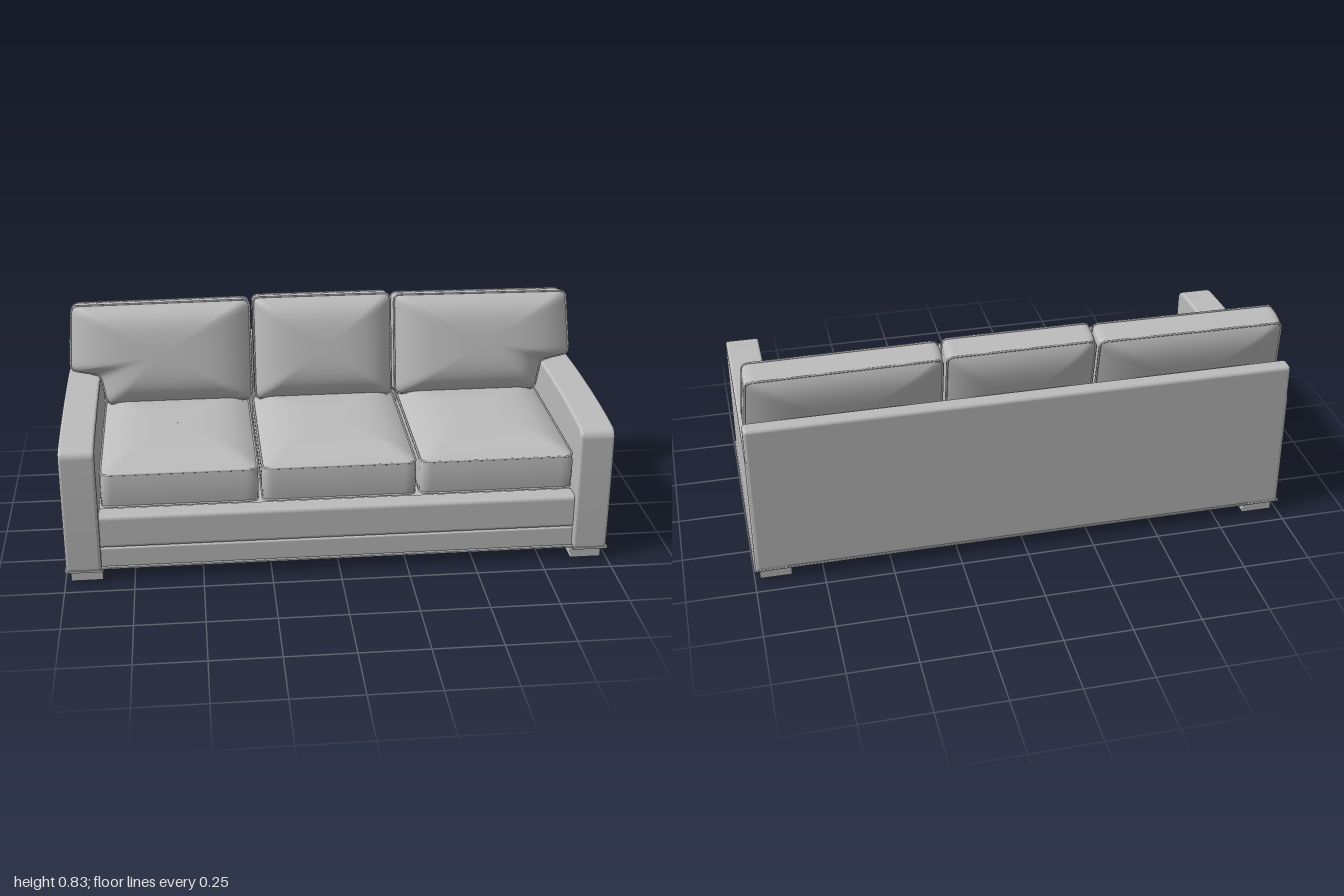
import * as THREE from 'three';
import { mergeGeometries } from 'three/addons/utils/BufferGeometryUtils.js';
import { RoundedBoxGeometry } from 'three/addons/geometries/RoundedBoxGeometry.js';

const fabric = new THREE.MeshStandardMaterial({ color: 0xbcbcbc });
fabric.name = 'grey fabric';

function add(parent, name, geometry, x = 0, y = 0, z = 0) {
  const mesh = new THREE.Mesh(geometry, fabric);
  mesh.name = name;
  mesh.position.set(x, y, z);
  parent.add(mesh);
  return mesh;
}

// Box given by its limits, with softened edges
function block(parent, name, [x0, x1], [y0, y1], [z0, z1], r = 0.008) {
  const geometry = new RoundedBoxGeometry(x1 - x0, y1 - y0, z1 - z0, 3, r);
  return add(parent, name, geometry, (x0 + x1) / 2, (y0 + y1) / 2, (z0 + z1) / 2);
}

// Evenly spaced loop around a polygon with rounded corners (counter-clockwise)
function roundedOutline(corners, radius) {
  const pts = corners.map(([x, y]) => new THREE.Vector2(x, y));
  const shape = new THREE.Shape();
  const toward = (a, b) => a.clone().add(b.clone().sub(a).setLength(radius));
  pts.forEach((p, i) => {
    const a = toward(p, pts[(i + pts.length - 1) % pts.length]);
    const b = toward(p, pts[(i + 1) % pts.length]);
    if (i) shape.lineTo(a.x, a.y);
    else shape.moveTo(a.x, a.y);
    shape.quadraticCurveTo(p.x, p.y, b.x, b.y);
  });
  shape.closePath();
  return shape.getSpacedPoints(128).slice(0, -1);
}

// Skin through scaled copies of an outline; each ring is [scale, z]
function loft(outline, centre, rings) {
  const n = outline.length, position = [], index = [];
  rings.forEach(([s, z], r) => outline.forEach((p, i) => {
    position.push(centre.x + (p.x - centre.x) * s, centre.y + (p.y - centre.y) * s, z);
    if (r === rings.length - 1) return;
    const a = r * n + i, b = r * n + (i + 1) % n;
    index.push(a, b, b + n, a, b + n, a + n);
  }));
  const geometry = new THREE.BufferGeometry();
  geometry.setAttribute('position', new THREE.Float32BufferAttribute(position, 3));
  geometry.setIndex(index);
  geometry.computeVertexNormals();
  return geometry;
}

// Stuffed cushion: crowned faces, side band and piping along both seams
function cushion(parent, name, corners, radius, edge, crownFront, crownBack) {
  const outline = roundedOutline(corners, radius);
  const centre = new THREE.Box2().setFromPoints(outline).getCenter(new THREE.Vector2());
  const scales = [1, 0.98, 0.95, 0.9, 0.84, 0.76, 0.66, 0.52, 0.35, 0.15, 0.001];
  const h = edge / 2;
  const face = (crown, sign) => scales.map(s => [s, sign * (h + crown * (1 - s ** 4))]);
  const band = [-1, -0.5, 0, 0.5, 1].map(t => [1 + 0.012 * (1 - t * t), t * h]);
  const group = new THREE.Group();
  group.name = name;
  add(group, 'cushionBody', mergeGeometries([
    loft(outline, centre, face(crownFront, 1)),
    loft(outline, centre, band),
    loft(outline, centre, face(crownBack, -1).reverse()),
  ]));
  for (const z of [-h, h]) {
    const path = new THREE.CatmullRomCurve3(outline.map(p => new THREE.Vector3(p.x, p.y, z)), true);
    add(group, 'piping', new THREE.TubeGeometry(path, 128, 0.004, 6, true));
  }
  parent.add(group);
  return group;
}

const rect = (x0, x1, y0, y1) => [[x0, y0], [x1, y0], [x1, y1], [x0, y1]];
const mirror = corners => corners.map(([x, y]) => [-x, y]).reverse();

// Arm: gently arched side profile, extruded across its width
function armGeometry() {
  const bevel = 0.01, width = 0.127;
  const s = new THREE.Shape();
  s.moveTo(-0.434, 0.06);
  s.lineTo(0.428, 0.06);
  s.quadraticCurveTo(0.438, 0.28, 0.433, 0.495);
  s.quadraticCurveTo(0.43, 0.516, 0.40, 0.52);
  s.bezierCurveTo(0.2, 0.541, -0.15, 0.54, -0.33, 0.527);
  s.lineTo(-0.434, 0.508);
  s.closePath();
  const geometry = new THREE.ExtrudeGeometry(s, {
    depth: width - 2 * bevel, bevelThickness: bevel, bevelSize: bevel, bevelSegments: 3, curveSegments: 12,
  });
  return geometry.translate(0, 0, bevel - width / 2).rotateY(-Math.PI / 2);
}

export function createModel() {
  const sofa = new THREE.Group();
  sofa.name = 'sofa';

  // Frame
  block(sofa, 'seatDeck', [-0.88, 0.88], [0.05, 0.25], [-0.43, 0.40]);
  block(sofa, 'frontRailUpper', [-0.88, 0.88], [0.128, 0.256], [0.34, 0.42], 0.016);
  block(sofa, 'frontRailLower', [-0.88, 0.88], [0.05, 0.127], [0.34, 0.415], 0.006);
  block(sofa, 'backPanel', [-0.993, 0.993], [0.05, 0.642], [-0.446, -0.385], 0.014);
  block(sofa, 'bottomTrim', [-1, 1], [0.045, 0.053], [-0.445, 0.425], 0.003);

  // Arms and feet
  const arm = armGeometry();
  for (const side of [1, -1]) {
    const prefix = side > 0 ? 'left' : 'right';
    add(sofa, prefix + 'Arm', arm, side * 0.9315, 0, 0);
    add(sofa, prefix + 'ArmTrim', new THREE.BoxGeometry(0.13, 0.008, 0.02), side * 0.934, 0.049, 0.432);
    for (const [end, z] of [['Front', 0.361], ['Back', -0.367]])
      block(sofa, prefix + end + 'Foot', [side * 0.922 - 0.058, side * 0.922 + 0.058], [0, 0.05], [z - 0.058, z + 0.058], 0.004);
  }

  // Seat cushions, laid flat
  const sideSeat = rect(0.295, 0.855, -0.41, 0.27);
  const seats = { middleSeat: rect(-0.278, 0.278, -0.41, 0.27), leftSeat: sideSeat, rightSeat: mirror(sideSeat) };
  for (const [name, corners] of Object.entries(seats)) {
    const seat = cushion(sofa, name + 'Cushion', corners, 0.03, 0.125, 0.045, 0.03);
    seat.rotation.x = -Math.PI / 2;
    seat.position.y = 0.3525;
  }

  // Back cushions, leaning; the outer ones reach over the arms
  const sideBack = [[0.283, -0.2], [0.845, -0.2], [0.868, -0.085], [0.982, -0.062], [0.967, 0.186], [0.283, 0.191]];
  const backs = { middleBack: rect(-0.268, 0.268, -0.2, 0.198), leftBack: sideBack, rightBack: mirror(sideBack) };
  for (const [name, corners] of Object.entries(backs)) {
    const back = cushion(sofa, name + 'Cushion', corners, 0.022, 0.1, 0.06, 0.04);
    back.rotation.x = -0.21;
    back.position.set(0, 0.62, -0.29);
  }
  return sofa;
}
